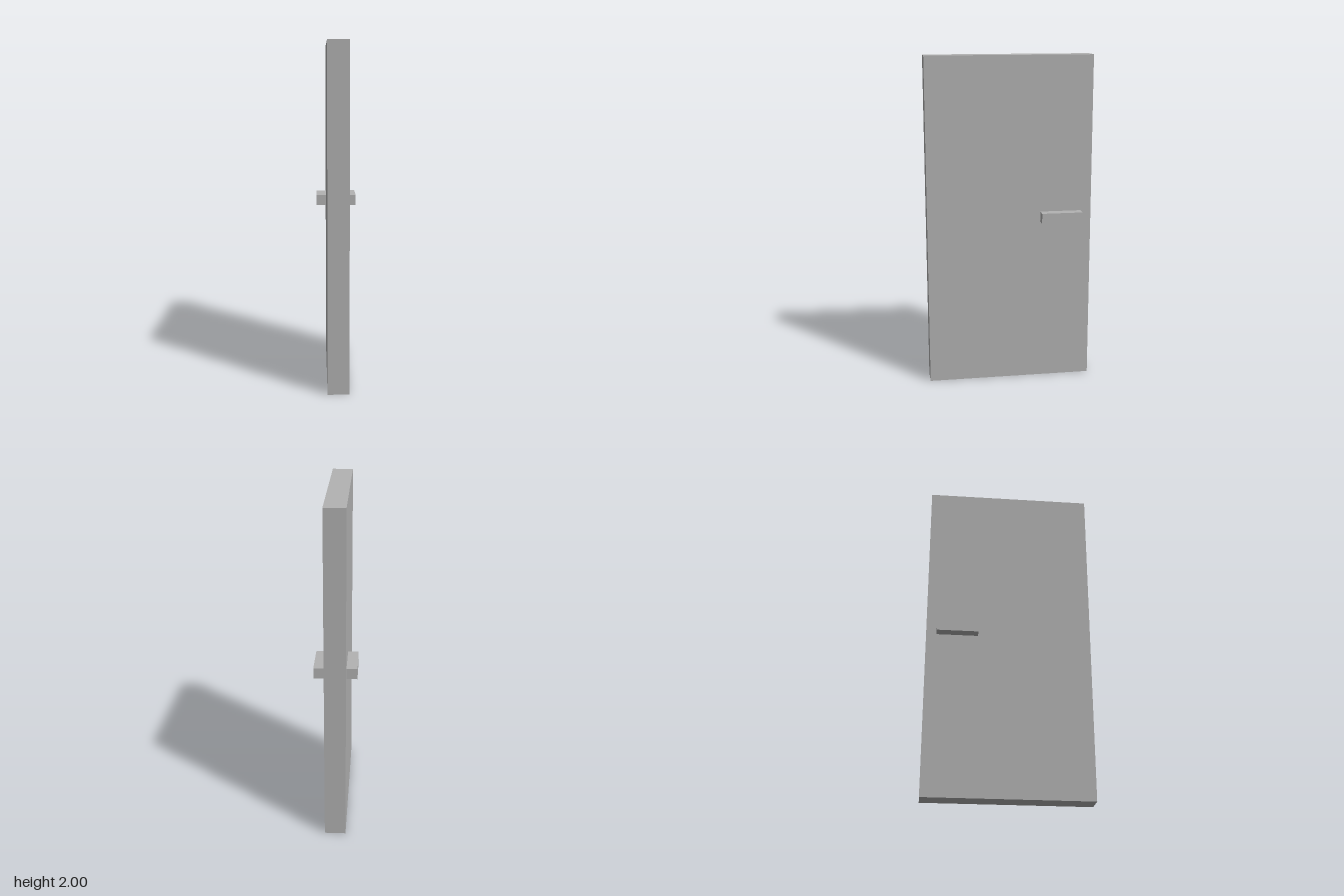
import * as THREE from 'three';

export function createModel() {
  const group = new THREE.Group();
  const grey = new THREE.MeshStandardMaterial({ color: 0xb2b2b2 });
  grey.name = 'light grey';

  const addBox = (name, size, position) => {
    const mesh = new THREE.Mesh(new THREE.BoxGeometry(...size), grey);
    mesh.name = name;
    mesh.position.set(...position);
    group.add(mesh);
  };

  // Upright door slab
  addBox('doorPanel', [0.125, 2, 1], [0, 1, 0]);

  // Matching bar handles on both faces, near the back edge
  for (const [name, side] of [['leftHandle', 1], ['rightHandle', -1]]) {
    addBox(name, [0.0625, 0.0625, 0.25], [side * 0.09375, 1.03125, -0.3125]);
  }

  return group;
}
